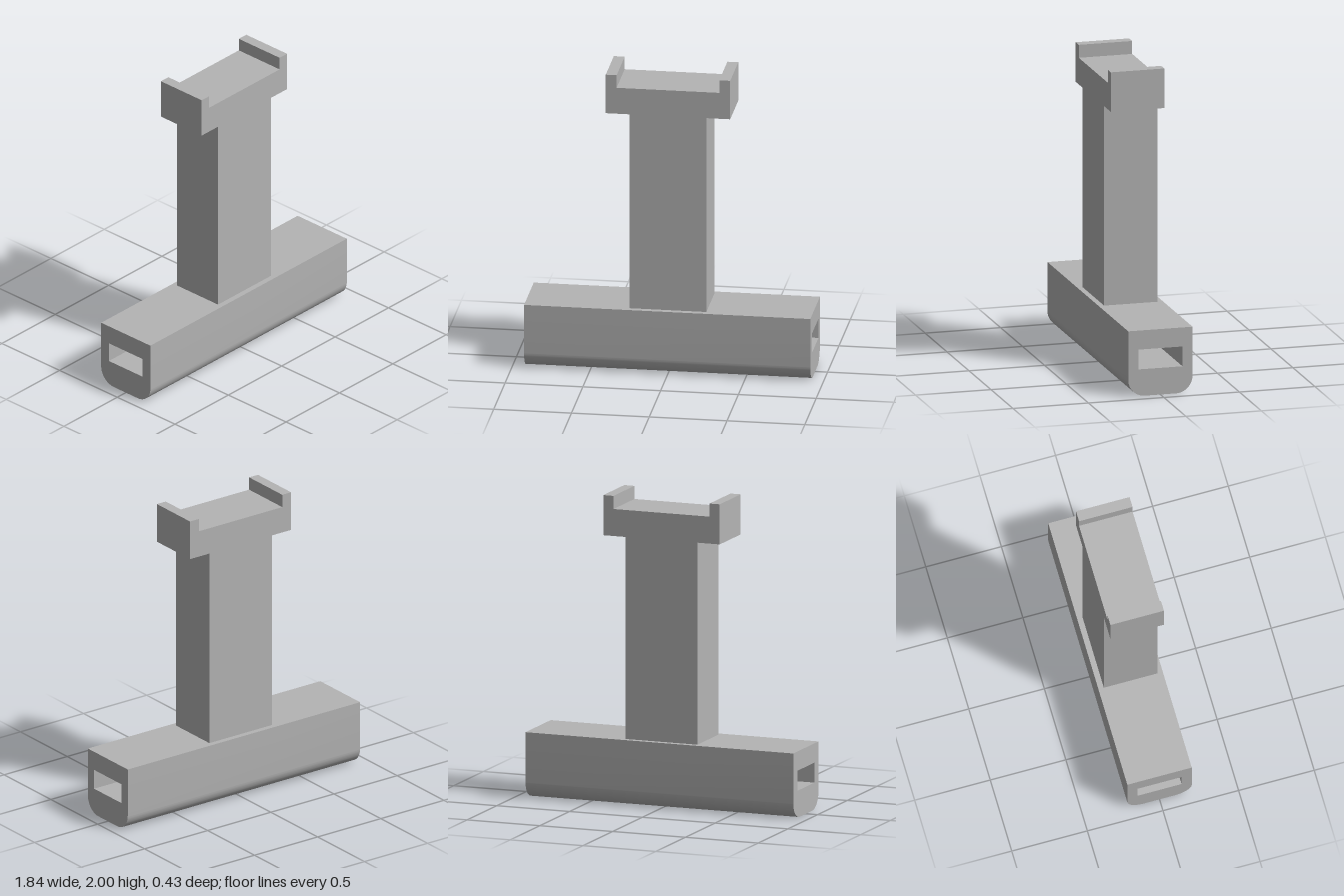
import * as THREE from 'three';
import { toCreasedNormals } from 'three/addons/utils/BufferGeometryUtils.js';

// Extrude a shape, centred on its depth
function extrudeCentred(shape, depth) {
  const geometry = new THREE.ExtrudeGeometry(shape, { depth, bevelEnabled: false, curveSegments: 16 });
  return geometry.translate(0, 0, -depth / 2);
}

export function createModel() {
  const group = new THREE.Group();
  const grey = new THREE.MeshStandardMaterial({ color: 0xb4b4b4 });
  grey.name = 'grey';

  // Crossbar: rounded lower edges, rectangular slot along its whole length
  const w = 0.213, h = 0.43, r = 0.11;
  const section = new THREE.Shape();
  section.moveTo(-w, h);
  section.lineTo(-w, r);
  section.absarc(-w + r, r, r, Math.PI, Math.PI * 1.5, false);
  section.lineTo(w - r, 0);
  section.absarc(w - r, r, r, Math.PI * 1.5, Math.PI * 2, false);
  section.lineTo(w, h);
  section.closePath();
  const slot = [[-0.146, 0.175], [-0.146, 0.305], [0.146, 0.305], [0.146, 0.175]];
  section.holes.push(new THREE.Path(slot.map(([x, y]) => new THREE.Vector2(x, y))));
  const barGeometry = toCreasedNormals(extrudeCentred(section, 1.84), Math.PI / 6);
  const crossbar = new THREE.Mesh(barGeometry.rotateY(Math.PI / 2), grey);
  crossbar.name = 'crossbar';
  group.add(crossbar);

  // Upright with a wider head and a raised lip at each end, mirrored in x
  const half = [[0.247, 0.43], [0.247, 1.74], [0.4, 1.74], [0.4, 2], [0.33, 2], [0.33, 1.915]];
  const mirrored = half.map(([x, y]) => [-x, y]).reverse();
  const outline = new THREE.Shape([...half, ...mirrored].map(([x, y]) => new THREE.Vector2(x, y)));
  const upright = new THREE.Mesh(extrudeCentred(outline, 0.354), grey);
  upright.name = 'uprightWithHead';
  group.add(upright);

  return group;
}
